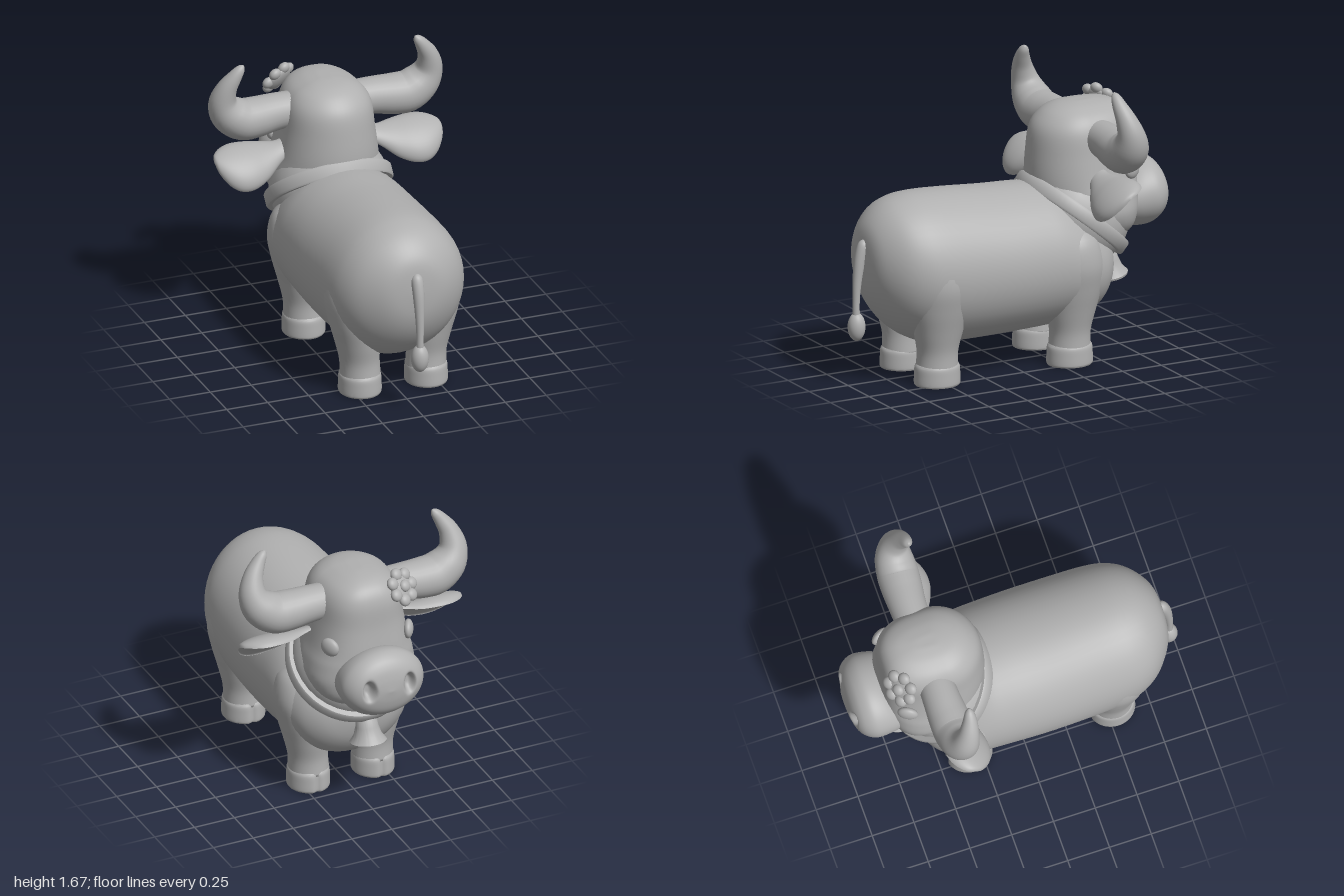
import * as THREE from 'three';
import { toCreasedNormals } from 'three/addons/utils/BufferGeometryUtils.js';

const V = (x, y, z) => new THREE.Vector3(x, y, z);
const pw = (v, n) => Math.sign(v) * Math.pow(Math.abs(v), 2 / n);

// Catmull-Rom blend between rows of section values
function sample(keys, t) {
  const f = t * (keys.length - 1), i = Math.min(Math.floor(f), keys.length - 2), u = f - i;
  const at = j => keys[Math.max(0, Math.min(keys.length - 1, j))];
  const [a, b, c, d] = [at(i - 1), at(i), at(i + 1), at(i + 2)];
  return b.map((_, k) => b[k] + 0.5 * u * (c[k] - a[k] + u * (2 * a[k] - 5 * b[k] + 4 * c[k] - d[k]
    + u * (3 * (b[k] - c[k]) + d[k] - a[k]))));
}

// Closed smooth skin through cross-sections; point(section, angle, t) gives each vertex
function loft(keys, point, rings = 48, sides = 48) {
  const pos = [], idx = [], centre = [V(0, 0, 0), V(0, 0, 0)];
  for (let i = 0; i <= rings; i++) {
    const s = sample(keys, i / rings);
    for (let j = 0; j < sides; j++) {
      const p = point(s, j / sides * Math.PI * 2, i / rings);
      pos.push(p.x, p.y, p.z);
      if (i === 0) centre[0].addScaledVector(p, 1 / sides);
      if (i === rings) centre[1].addScaledVector(p, 1 / sides);
    }
  }
  centre.forEach(c => pos.push(c.x, c.y, c.z));
  const c0 = (rings + 1) * sides;
  for (let j = 0; j < sides; j++) {
    const k = (j + 1) % sides, e = rings * sides;
    for (let i = 0; i < rings; i++) {
      const a = i * sides + j, b = i * sides + k;
      idx.push(a, b, a + sides, b, b + sides, a + sides);
    }
    idx.push(c0, k, j, c0 + 1, e + j, e + k);
  }
  // turn the faces outward if the signed volume is negative
  const at = i => V(pos[3 * i], pos[3 * i + 1], pos[3 * i + 2]);
  let volume = 0;
  for (let i = 0; i < idx.length; i += 3) volume += at(idx[i]).dot(at(idx[i + 1]).cross(at(idx[i + 2])));
  if (volume < 0) idx.reverse();
  const g = new THREE.BufferGeometry();
  g.setAttribute('position', new THREE.Float32BufferAttribute(pos, 3));
  g.setIndex(idx);
  g.computeVertexNormals();
  return g;
}

// Round tapering tube through rows of [x, y, z, radius]
function taper(keys, side = 1) {
  return loft(keys, (s, a, t) => {
    const p = sample(keys, Math.max(0, t - 0.01)), q = sample(keys, Math.min(1, t + 0.01));
    const dir = V(q[0] - p[0], q[1] - p[1], q[2] - p[2]).normalize();
    const n = V(0, 0, 1).addScaledVector(dir, -dir.z).normalize();
    const v = V(s[0], s[1], s[2]).addScaledVector(n, s[3] * Math.cos(a))
      .addScaledVector(dir.cross(n), s[3] * Math.sin(a));
    v.x *= side;
    return v;
  }, 40, 28);
}

export function createModel() {
  const group = new THREE.Group();
  const grey = new THREE.MeshStandardMaterial({ color: 0xb0b0b0 });
  grey.name = 'plain grey';
  const add = (name, geometry, parent = group) => {
    const m = new THREE.Mesh(geometry, grey);
    m.name = name;
    parent.add(m);
    return m;
  };
  const ball = (name, p, r, parent = group) => {
    const m = add(name, new THREE.SphereGeometry(1, 32, 24), parent);
    m.position.set(...p);
    m.scale.set(...r);
    return m;
  };

  // Barrel body: [z, top, bottom, half width]
  const alongZ = (s, a) => V(s[3] * Math.cos(a), (s[1] + s[2]) / 2 + (s[1] - s[2]) / 2 * Math.sin(a), s[0]);
  add('body', loft([[0.91, 0.73, 0.71, 0.01], [0.895, 0.88, 0.57, 0.14], [0.85, 0.97, 0.45, 0.235],
    [0.77, 1.04, 0.34, 0.325], [0.67, 1.075, 0.26, 0.38], [0.55, 1.085, 0.21, 0.405], [0.35, 1.075, 0.19, 0.415],
    [0.1, 1.055, 0.19, 0.42], [-0.1, 1.045, 0.195, 0.415], [-0.22, 1.03, 0.2, 0.41], [-0.33, 0.98, 0.205, 0.4],
    [-0.43, 0.92, 0.225, 0.37], [-0.52, 0.84, 0.275, 0.32], [-0.59, 0.75, 0.37, 0.23], [-0.625, 0.66, 0.48, 0.1],
    [-0.63, 0.58, 0.56, 0.01]], alongZ, 70));
  const neck = ball('neck', [0, 0.83, -0.44], [0.345, 0.29, 0.345]);
  neck.rotation.x = -0.69;

  // Head stacked upward: [y, front z, back z, half width]; squarer toward the face
  add('head', loft([[0.655, -0.6, -0.58, 0.01], [0.67, -0.7, -0.48, 0.14], [0.75, -0.765, -0.38, 0.265],
    [0.85, -0.79, -0.27, 0.32], [0.95, -0.8, -0.2, 0.315], [1.05, -0.8, -0.175, 0.29], [1.2, -0.785, -0.18, 0.265],
    [1.34, -0.78, -0.2, 0.245], [1.42, -0.75, -0.255, 0.2], [1.465, -0.69, -0.33, 0.125], [1.483, -0.6, -0.42, 0.05],
    [1.485, -0.52, -0.5, 0.01]], (s, a) => {
    const c = Math.cos(a), d = Math.sin(a), n = d < 0 ? 2.7 : 2;
    const mid = s[2] - Math.min(s[3], (s[2] - s[1]) / 2);
    return V(s[3] * pw(c, n), s[0], mid + pw(d, n) * (d < 0 ? mid - s[1] : s[2] - mid));
  }, 60));

  // Muzzle with pressed-in nostrils
  add('muzzle', loft([[-0.66, 1.0, 0.75, 0.2], [-0.74, 1.06, 0.715, 0.235], [-0.81, 1.1, 0.7, 0.25],
    [-0.88, 1.11, 0.703, 0.252], [-0.935, 1.085, 0.73, 0.225], [-0.97, 1.04, 0.77, 0.18],
    [-0.99, 0.98, 0.83, 0.11], [-1.0, 0.91, 0.9, 0.01]], (s, a) => {
    const v = alongZ(s, a);
    const d = ((Math.abs(v.x) - 0.125) / 0.032) ** 2 + ((v.y - 0.92) / 0.055) ** 2;
    if (v.z < -0.88) v.z += 0.06 * Math.exp(-d * d);
    return v;
  }, 80, 96));

  // Paired parts, mirrored across x
  for (const side of [1, -1]) {
    const which = side > 0 ? 'left' : 'right';
    add(which + 'Horn', taper([[0.12, 1.305, -0.515, 0.1], [0.3, 1.3, -0.515, 0.108], [0.42, 1.29, -0.51, 0.118],
      [0.51, 1.295, -0.505, 0.12], [0.59, 1.35, -0.5, 0.108], [0.628, 1.43, -0.485, 0.082], [0.615, 1.52, -0.46, 0.06],
      [0.575, 1.595, -0.44, 0.042], [0.54, 1.645, -0.432, 0.026], [0.525, 1.665, -0.43, 0.006]], side));

    // Cupped ear: crescent sections [x, y, z, half chord], hollow toward the front
    add(which + 'Ear', loft([[0.22, 1.11, -0.48, 0.05], [0.31, 1.07, -0.46, 0.075], [0.4, 1.035, -0.455, 0.125],
      [0.49, 1.02, -0.45, 0.155], [0.57, 1.02, -0.45, 0.155], [0.635, 1.035, -0.45, 0.12],
      [0.68, 1.06, -0.45, 0.06], [0.693, 1.075, -0.45, 0.005]], (s, a) => {
      const c = s[3] * Math.cos(a), b = s[3] * (Math.sin(a) > 0 ? 0.58 : -0.12) * Math.sin(a);
      return V(side * s[0], s[1] + 0.6 * c + 0.8 * b, s[2] - 0.8 * c + 0.6 * b);
    }, 40, 40));

    const lid = ball(which + 'Eyelid', [side * 0.245, 1.1, -0.7], [0.03, 0.055, 0.06]);
    lid.rotation.y = side * 0.5;

    // Legs: [y, centre x, half width, half depth]
    for (const [name, z] of [['FrontLeg', -0.32], ['BackLeg', 0.535]]) {
      add(which + name, loft([[0.1, 0.2, 0.117, 0.122], [0.2, 0.205, 0.115, 0.12], [0.32, 0.218, 0.13, 0.145],
        [0.46, 0.245, 0.14, 0.17], [0.6, 0.265, 0.145, 0.17], [0.74, 0.26, 0.125, 0.13], [0.82, 0.25, 0.06, 0.05]],
      (s, a) => V(side * (s[1] + s[2] * Math.cos(a)), s[0], z + s[3] * Math.sin(a)), 30, 36));
      // Hoof with a shallow cleft at the toe
      const hoof = loft([[0, 0.119], [0.012, 0.123], [0.06, 0.122], [0.105, 0.119], [0.125, 0.108]], (s, a) => {
        const r = s[1] * (1 - 0.1 * Math.exp(-(((a - Math.PI * 1.5) / 0.14) ** 2)));
        return V(side * 0.202 + r * Math.cos(a), s[0], z + r * 1.1 * Math.sin(a));
      }, 16, 64);
      add(which + name.replace('Leg', 'Hoof'), toCreasedNormals(hoof, 0.9));
    }
  }

  // Tail with tuft
  add('tail', taper([[0, 0.83, 0.885, 0.012], [0, 0.815, 0.9, 0.033], [0, 0.73, 0.925, 0.033],
    [0, 0.6, 0.942, 0.026], [0, 0.48, 0.948, 0.021], [0, 0.38, 0.947, 0.022]]));
  ball('tailTuft', [0, 0.34, 0.945], [0.051, 0.083, 0.051]);

  // Tilted collar band
  const lathe = pts => toCreasedNormals(new THREE.LatheGeometry(pts.map(p => new THREE.Vector2(...p)), 64), 0.7);
  const collar = add('collar', lathe([[0.32, -0.04], [0.365, -0.04], [0.372, -0.03], [0.372, 0.03],
    [0.365, 0.04], [0.32, 0.04]]));
  collar.position.set(0, 0.82, -0.44);
  collar.rotation.x = -0.69;

  // Hollow bell hung from a small loop
  const bell = new THREE.Group();
  bell.name = 'bell';
  bell.position.set(0, 0.41, -0.69);
  bell.rotation.x = 0.19;
  group.add(bell);
  add('bellShell', lathe([[0, 0.1], [0.04, 0.1], [0.058, 0.04], [0.075, 0], [0.102, 0], [0.106, 0.012],
    [0.08, 0.05], [0.066, 0.1], [0.058, 0.15], [0.045, 0.168], [0, 0.172]]), bell);
  ball('bellClapper', [0, 0.04, 0], [0.026, 0.03, 0.026], bell);
  add('bellLoop', new THREE.TorusGeometry(0.028, 0.01, 12, 24), bell).position.y = 0.185;

  // Flower on the forehead
  const flower = new THREE.Group();
  flower.name = 'flower';
  flower.position.set(-0.195, 1.405, -0.73);
  flower.quaternion.setFromUnitVectors(V(0, 0, 1), V(-0.42, 0.52, -0.74).normalize());
  group.add(flower);
  ball('flowerBase', [0, 0, -0.01], [0.085, 0.085, 0.03], flower);
  ball('flowerCentre', [0, 0, 0.018], [0.035, 0.035, 0.027], flower);
  for (let i = 0; i < 7; i++) {
    const a = i / 7 * Math.PI * 2;
    ball('petal', [0.078 * Math.cos(a), 0.078 * Math.sin(a), 0], [0.037, 0.037, 0.028], flower);
  }
  return group;
}
